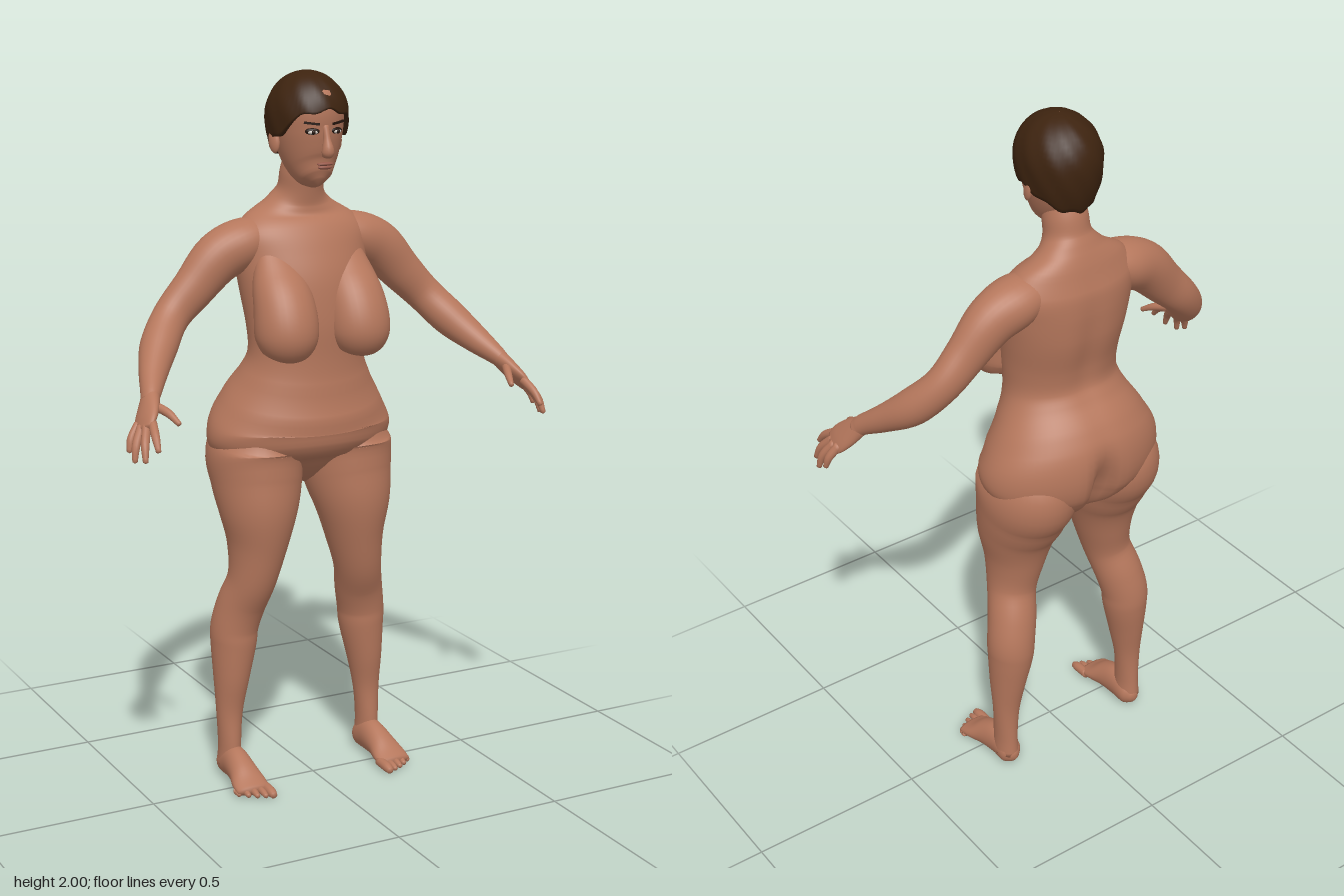
import * as THREE from 'three';

const mat = (name, color) => Object.assign(new THREE.MeshStandardMaterial({ color }), { name });
const skin = mat('skin', 0xb5775c);
const hairBrown = mat('hair brown', 0x3d230f);
const lipTone = mat('lip tone', 0x96594a);
const eyeWhite = mat('eye white', 0xd8cfc6);
const darkBrown = mat('dark brown', 0x24150d);
const Z = new THREE.Vector3(0, 0, 1);
const Y = new THREE.Vector3(0, 1, 0);

// Smooth closed loft through elliptical sections [x, y, z, widthRadius, depthRadius]
function loft(rings, { side = 1, ref = Z, segs = 32, sub = 5, tip = 0.5, shape } = {}) {
  const path = new THREE.CatmullRomCurve3(rings.map(r => new THREE.Vector3(r[0] * side, r[1], r[2])));
  const radii = new THREE.CatmullRomCurve3(rings.map(r => new THREE.Vector3(r[3], r[4], 0)), false, 'catmullrom', 0.5);
  const n = (rings.length - 1) * sub, pos = [], index = [], poles = [];
  for (let i = 0; i <= n; i++) {
    const p = path.getPoint(i / n), t = path.getTangent(i / n), r = radii.getPoint(i / n);
    const a = new THREE.Vector3().crossVectors(ref, t).normalize();
    const b = new THREE.Vector3().crossVectors(t, a);
    for (let j = 0; j < segs; j++) {
      const ang = j / segs * Math.PI * 2;
      const v = p.clone().addScaledVector(a, r.x * Math.cos(ang)).addScaledVector(b, r.y * Math.sin(ang));
      if (shape) shape(v);
      pos.push(v.x, v.y, v.z);
      if (i < n) {
        const k = (j + 1) % segs, c = i * segs + j, d = i * segs + k;
        index.push(c, d, c + segs, d, d + segs, c + segs);
      }
    }
    if (i === 0) poles.push(p.addScaledVector(t, -tip * Math.min(r.x, r.y)));
    if (i === n) poles.push(p.addScaledVector(t, tip * Math.min(r.x, r.y)));
  }
  const s = (n + 1) * segs, last = n * segs;
  poles.forEach(p => pos.push(p.x, p.y, p.z));
  for (let j = 0; j < segs; j++) {
    const k = (j + 1) % segs;
    index.push(s, k, j, s + 1, last + j, last + k);
  }
  const g = new THREE.BufferGeometry();
  g.setAttribute('position', new THREE.Float32BufferAttribute(pos, 3));
  g.setIndex(index);
  g.computeVertexNormals();
  return g;
}

// Cropped hair: a domed cap whose lower edge drops from the fringe to the nape
function hairGeometry() {
  const segs = 64, rows = 20, pos = [], index = [];
  for (let i = 0; i <= rows; i++) for (let j = 0; j < segs; j++) {
    const a = j / segs * Math.PI * 2, c = Math.cos(a);
    const edge = 1.83 + 0.07 * c - 0.025 * Math.exp(-(((c - 0.3) / 0.2) ** 2)) + 0.005 * Math.sin(a * 9 + 1);
    const u = Math.min(i / (rows - 1), 1);
    const y = 2 - (2 - edge) * u * u * (2 - u);
    const k = (y - 1.88) / 0.12;
    let r = k > 0 ? Math.sqrt(Math.max(0, 1 - k * k)) : 1 - 0.22 * k * k;
    r *= 1 + 0.012 * Math.sin(a * 11 + y * 60);
    if (i === rows) r *= 0.8;
    pos.push(0.11 * r * Math.sin(a), y, -0.036 + 0.125 * r * c);
    if (i < rows) {
      const p = i * segs + j, q = i * segs + (j + 1) % segs;
      index.push(p, p + segs, q, q, p + segs, q + segs);
    }
  }
  const g = new THREE.BufferGeometry();
  g.setAttribute('position', new THREE.Float32BufferAttribute(pos, 3));
  g.setIndex(index);
  g.computeVertexNormals();
  return g;
}

export function createModel() {
  const model = new THREE.Group();
  model.name = 'standing figure';
  const add = (name, geo, material = skin) => {
    const m = new THREE.Mesh(geo, material);
    m.name = name;
    model.add(m);
    return m;
  };
  const ball = (name, material, p, s) => {
    const m = add(name, new THREE.SphereGeometry(1, 24, 16), material);
    m.position.set(...p);
    m.scale.set(...s);
    return m;
  };

  // Torso and neck, with a soft groove along the back
  add('torso', loft([
    [0, 0.89, -0.06, 0.07, 0.08], [0, 0.92, -0.07, 0.19, 0.135], [0, 0.97, -0.08, 0.262, 0.17],
    [0, 1.03, -0.087, 0.27, 0.183], [0, 1.1, -0.075, 0.237, 0.175], [0, 1.18, -0.055, 0.19, 0.14],
    [0, 1.24, -0.045, 0.168, 0.122], [0, 1.32, -0.045, 0.172, 0.125], [0, 1.42, -0.06, 0.185, 0.13],
    [0, 1.5, -0.075, 0.195, 0.12], [0, 1.56, -0.085, 0.2, 0.105], [0, 1.61, -0.09, 0.16, 0.08],
    [0, 1.645, -0.085, 0.1, 0.068], [0, 1.68, -0.075, 0.066, 0.061], [0, 1.73, -0.065, 0.06, 0.06],
    [0, 1.78, -0.055, 0.05, 0.05],
  ], {
    segs: 72,
    shape: v => {
      if (v.z > -0.1) return;
      const cleft = 0.055 * Math.exp(-(((v.y - 0.97) / 0.09) ** 2)) * Math.exp(-((v.x / 0.035) ** 2));
      const spine = 0.012 * Math.exp(-(((v.y - 1.36) / 0.16) ** 2)) * Math.exp(-((v.x / 0.04) ** 2));
      v.z += cleft + spine;
    },
  }));

  // Head, nose and mouth
  add('head', loft([
    [0, 1.703, 0.025, 0.02, 0.025], [0, 1.718, 0.015, 0.045, 0.048], [0, 1.75, -0.005, 0.066, 0.076],
    [0, 1.79, -0.02, 0.081, 0.095], [0, 1.84, -0.03, 0.092, 0.108], [0, 1.9, -0.035, 0.095, 0.115],
    [0, 1.95, -0.04, 0.08, 0.1], [0, 1.98, -0.04, 0.04, 0.05],
  ], { segs: 40 }));
  add('nose', loft([
    [0, 1.86, 0.072, 0.009, 0.008], [0, 1.825, 0.08, 0.01, 0.012],
    [0, 1.793, 0.087, 0.017, 0.017], [0, 1.781, 0.08, 0.014, 0.012],
  ], { segs: 16 }));
  ball('upper lip', lipTone, [0, 1.759, 0.071], [0.025, 0.005, 0.009]);
  ball('lower lip', lipTone, [0, 1.75, 0.069], [0.021, 0.006, 0.009]);
  add('hair', hairGeometry(), hairBrown).material.side = THREE.DoubleSide;

  for (const side of [1, -1]) {
    const label = side > 0 ? 'left' : 'right';
    const part = (name, rings, opts = {}) => add(`${label} ${name}`, loft(rings, { side, ...opts }));

    // Eye, brow and ear
    ball(`${label} eye rim`, darkBrown, [0.036 * side, 1.846, 0.066], [0.02, 0.009, 0.008]).rotation.y = 0.35 * side;
    ball(`${label} eye`, eyeWhite, [0.036 * side, 1.844, 0.068], [0.015, 0.006, 0.009]).rotation.y = 0.35 * side;
    ball(`${label} iris`, darkBrown, [0.036 * side, 1.844, 0.074], [0.006, 0.006, 0.005]);
    const brow = add(`${label} brow`, new THREE.BoxGeometry(0.042, 0.006, 0.008), darkBrown);
    brow.position.set(0.039 * side, 1.867, 0.069);
    brow.rotation.set(0, 0.4 * side, 0.12 * side);
    ball(`${label} ear`, skin, [0.096 * side, 1.815, -0.04], [0.011, 0.033, 0.019]).rotation.set(-0.2, -0.3 * side, 0);

    // Chest
    part('chest', [
      [0.1, 1.54, -0.03, 0.045, 0.02], [0.105, 1.45, 0.003, 0.074, 0.058], [0.108, 1.37, 0.045, 0.086, 0.078],
      [0.11, 1.3, 0.06, 0.087, 0.084], [0.11, 1.258, 0.057, 0.068, 0.064], [0.11, 1.243, 0.053, 0.035, 0.035],
    ]);

    // Arm
    part('arm', [
      [0.09, 1.565, -0.088, 0.045, 0.06], [0.17, 1.54, -0.085, 0.068, 0.075], [0.245, 1.505, -0.082, 0.07, 0.064],
      [0.32, 1.43, -0.078, 0.06, 0.05], [0.39, 1.36, -0.07, 0.052, 0.046], [0.45, 1.29, -0.02, 0.051, 0.05],
      [0.497, 1.235, 0.05, 0.039, 0.037], [0.53, 1.195, 0.11, 0.026, 0.028], [0.54, 1.18, 0.125, 0.022, 0.028],
    ]);

    // Hand with four fingers and a thumb
    part('palm', [
      [0.53, 1.195, 0.11, 0.023, 0.026], [0.55, 1.165, 0.14, 0.021, 0.038],
      [0.568, 1.14, 0.164, 0.017, 0.042], [0.582, 1.12, 0.18, 0.011, 0.036],
    ]);
    [
      [[0.562, 1.14, 0.195], [0.572, 1.112, 0.238], [0.576, 1.082, 0.264]],
      [[0.575, 1.13, 0.185], [0.595, 1.09, 0.222], [0.602, 1.052, 0.24]],
      [[0.582, 1.127, 0.168], [0.608, 1.085, 0.193], [0.616, 1.046, 0.203]],
      [[0.582, 1.13, 0.148], [0.608, 1.095, 0.16], [0.616, 1.065, 0.167]],
      [[0.538, 1.175, 0.14], [0.515, 1.16, 0.19], [0.502, 1.138, 0.228]],
    ].forEach((pts, i) => part(i < 4 ? `finger ${i + 1}` : 'thumb',
      pts.map((p, k) => [...p, [0.012, 0.011, 0.007][k], [0.013, 0.011, 0.007][k]]), { segs: 12, ref: Y }));

    // Leg
    part('leg', [
      [0.135, 1.03, -0.08, 0.1, 0.13], [0.14, 0.96, -0.087, 0.13, 0.158], [0.142, 0.88, -0.068, 0.126, 0.138],
      [0.147, 0.8, -0.048, 0.111, 0.118], [0.153, 0.7, -0.043, 0.084, 0.094], [0.168, 0.6, -0.048, 0.068, 0.074],
      [0.188, 0.52, -0.077, 0.069, 0.069], [0.203, 0.45, -0.092, 0.068, 0.068], [0.206, 0.4, -0.093, 0.065, 0.067],
      [0.215, 0.3, -0.09, 0.051, 0.055], [0.222, 0.2, -0.09, 0.038, 0.04], [0.224, 0.1, -0.088, 0.031, 0.042],
      [0.224, 0.04, -0.09, 0.033, 0.044],
    ], { segs: 40, tip: 0.2 });

    // Foot and toes
    part('foot', [
      [0.222, 0.036, -0.13, 0.015, 0.018], [0.222, 0.04, -0.11, 0.033, 0.038], [0.222, 0.052, -0.06, 0.036, 0.05],
      [0.224, 0.042, 0, 0.041, 0.04], [0.226, 0.027, 0.045, 0.05, 0.025], [0.227, 0.018, 0.08, 0.049, 0.014],
    ], { ref: Y });
    for (let i = 0; i < 5; i++) {
      const x = 0.187 + 0.021 * i, r = i ? 0.0095 : 0.014, z = 0.125 - 0.004 * i - 0.002 * i * i;
      part(`toe ${i + 1}`, [[x, 0.018, 0.06, r, r], [x, 0.016, z - 0.02, r, r], [x, 0.012, z, r * 0.7, r * 0.7]],
        { ref: Y, segs: 12 });
    }
  }
  return model;
}
